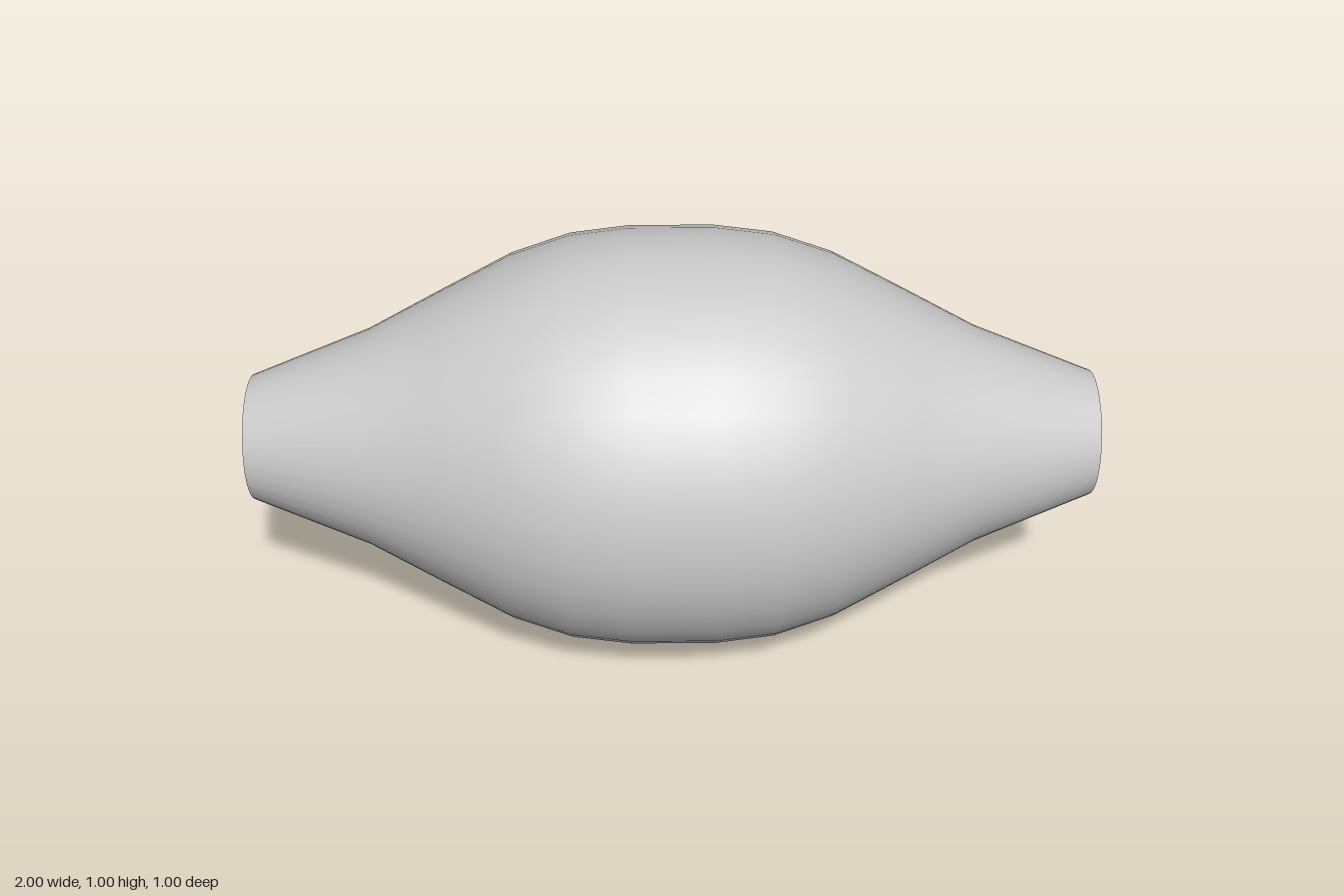
import * as THREE from 'three';

export function createModel() {
  const group = new THREE.Group();

  // Half profile as [distance from middle, radius], mirrored to both ends
  const half = [[0.1, 0.5], [0.24, 0.483], [0.38, 0.437], [0.545, 0.352], [0.72, 0.26], [1, 0.15]];
  const profile = [
    ...half.map(([d, r]) => new THREE.Vector2(r, -d)).reverse(),
    ...half.map(([d, r]) => new THREE.Vector2(r, d)),
  ];

  // Bulging tube, open at both ends, lying along x
  const geometry = new THREE.LatheGeometry(profile, 36);
  geometry.rotateZ(-Math.PI / 2);
  geometry.translate(0, 0.5, 0);

  const shell = new THREE.Mesh(
    geometry,
    new THREE.MeshStandardMaterial({ color: 0xcccccc, side: THREE.DoubleSide })
  );
  shell.name = 'bulgedTube';
  group.add(shell);
  return group;
}
